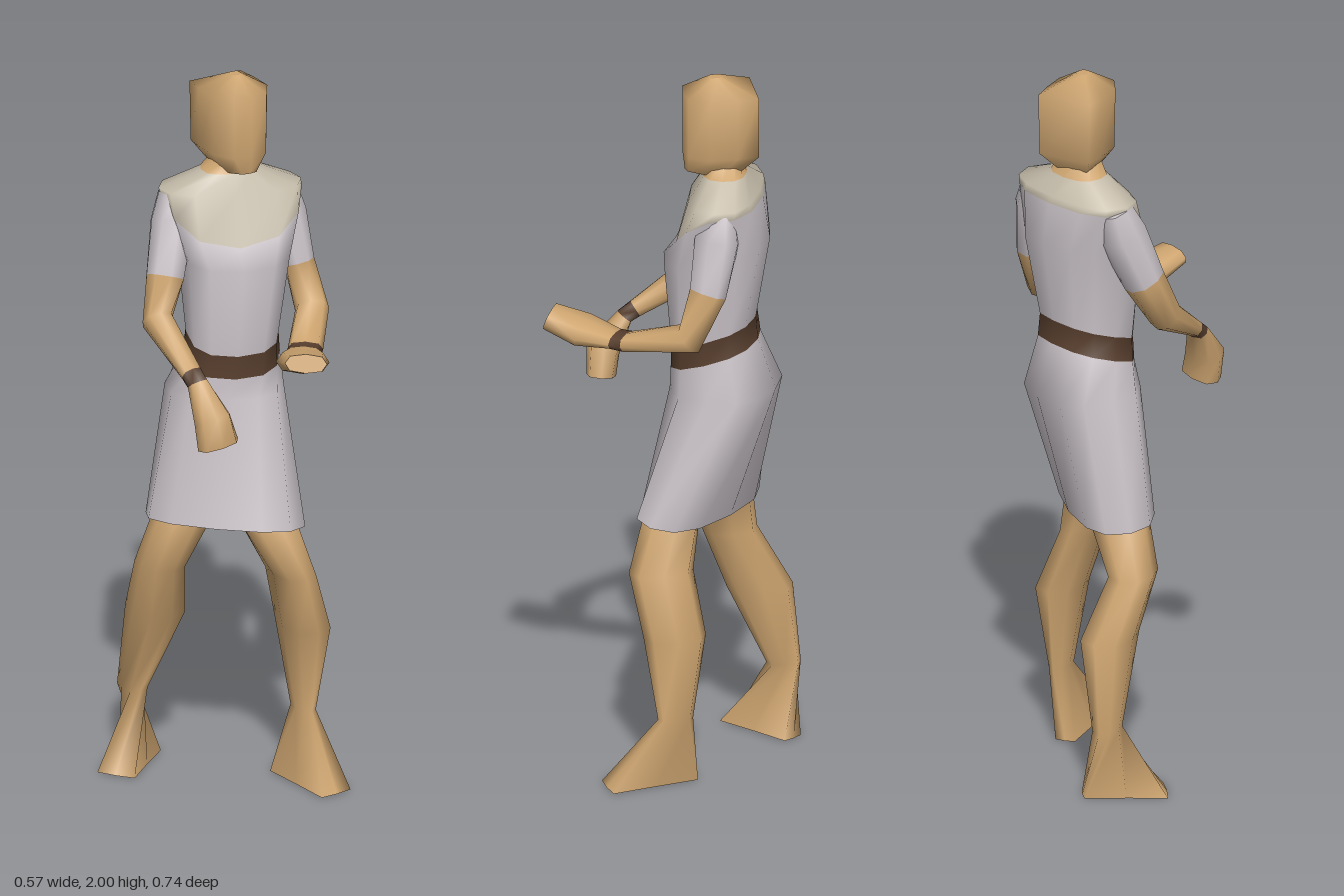
import * as THREE from 'three';

const material = (name, color) => {
  const m = new THREE.MeshStandardMaterial({ color });
  m.name = name;
  return m;
};

// Rounded-box outline as [u, v] pairs, starting at the front
const rounded = (n, e) => Array.from({ length: n }, (_, i) => {
  const t = (i / n) * Math.PI * 2;
  return [Math.sin(t), Math.cos(t)].map(v => Math.sign(v) * Math.abs(v) ** e);
});
const ROUND = rounded(8, 0.8);
const BODY = rounded(12, 0.8);
// Broad toes and narrow heel
const FOOT = [[0, 1], [1, 0.97], [0.75, 0], [0.55, -0.97], [0, -1], [-0.55, -0.97], [-0.75, 0], [-1, 0.97]];
// Square back and tapered face
const SKULL = [[0, 1], [0.6, 0.92], [1, 0.35], [1, -0.4], [0.92, -1], [-0.92, -1], [-1, -0.4], [-1, 0.35], [-0.6, 0.92]];

// Horizontal ring; yaw in degrees, dip tilts it forward, scoop lowers only the front
function ring(shape, x, y, z, rx, rz, yaw = 0, dip = 0, scoop = 0) {
  const a = THREE.MathUtils.degToRad(yaw);
  return shape.map(([u, v]) => new THREE.Vector3(
    x + u * rx * Math.cos(a) + v * rz * Math.sin(a),
    y - dip * v - scoop * Math.max(v, 0) ** 2,
    z - u * rx * Math.sin(a) + v * rz * Math.cos(a)));
}

// Rings set square to a path of [x, y, z, half width, half thickness]
function pathRings(path, side) {
  const c = path.map(p => new THREE.Vector3(p[0], p[1], p[2]));
  return path.map((p, i) => {
    const t = c[Math.min(i + 1, c.length - 1)].clone().sub(c[Math.max(i - 1, 0)]).normalize();
    const u = side.clone().addScaledVector(t, -side.dot(t)).normalize();
    const w = t.clone().cross(u);
    return ROUND.map(([s, q]) =>
      c[i].clone().addScaledVector(u, q * p[3]).addScaledVector(w, s * p[4]));
  });
}

// Smooth skin over the rings, one material per span, closed at both ends
function loft(name, rings, spanMaterials) {
  const n = rings[0].length, pos = [], idx = [];
  const geo = new THREE.BufferGeometry();
  const mats = [...new Set(spanMaterials)];
  const push = v => pos.push(v.x, v.y, v.z);
  rings.forEach(r => r.forEach(push));

  const cap = (r, flip, mat) => {
    const base = pos.length / 3, start = idx.length;
    r.forEach(push);
    push(r.reduce((s, v) => s.add(v), new THREE.Vector3()).divideScalar(n));
    for (let j = 0; j < n; j++) {
      const a = base + j, b = base + (j + 1) % n;
      idx.push(base + n, ...(flip ? [b, a] : [a, b]));
    }
    geo.addGroup(start, n * 3, mats.indexOf(mat));
  };

  spanMaterials.forEach((mat, i) => {
    const start = idx.length;
    for (let j = 0; j < n; j++) {
      const a = i * n + j, b = i * n + (j + 1) % n, c = b + n, d = a + n;
      idx.push(a, b, c, a, c, d);
    }
    geo.addGroup(start, n * 6, mats.indexOf(mat));
  });
  cap(rings[0], true, spanMaterials[0]);
  cap(rings[rings.length - 1], false, spanMaterials[spanMaterials.length - 1]);

  geo.setAttribute('position', new THREE.Float32BufferAttribute(pos, 3));
  geo.setIndex(idx);
  geo.computeVertexNormals();
  const mesh = new THREE.Mesh(geo, mats);
  mesh.name = name;
  return mesh;
}

export function createModel() {
  const skin = material('skin', 0xcea570);
  const cloth = material('dress cloth', 0xcdc6cb);
  const yoke = material('yoke cloth', 0xc5bcaa);
  const leather = material('brown leather', 0x583f2e);
  const group = new THREE.Group();
  group.name = 'figure';

  // Dress: skirt, belt, bodice, yoke and neck in one twisted loft
  const body = (...args) => ring(BODY, ...args);
  group.add(loft('dress', [
    body(0.0, 0.735, -0.065, 0.222, 0.108, -45, -0.01),
    body(0.037, 1.1, -0.135, 0.16, 0.143, -30),
    body(0.041, 1.2, -0.106, 0.132, 0.118, -24, 0.04),
    body(0.042, 1.265, -0.102, 0.126, 0.115, -22, 0.04),
    body(0.05, 1.505, -0.108, 0.155, 0.145, -19, 0.03),
    body(0.052, 1.645, -0.118, 0.19, 0.116, -19, 0.01, 0.105),
    body(0.053, 1.672, -0.132, 0.196, 0.094, -19),
    body(0.05, 1.72, -0.13, 0.08, 0.06, -15),
    body(0.05, 1.77, -0.12, 0.045, 0.045),
  ], [cloth, cloth, leather, cloth, cloth, yoke, yoke, skin]));

  // Underside between the legs
  group.add(loft('pelvis', [
    body(0, 0.728, -0.06, 0.08, 0.05, -45),
    body(0, 0.745, -0.065, 0.21, 0.1, -45),
  ], [skin]));

  // Head
  const skull = (y, z, rx, rz, dip = 0) => ring(SKULL, 0.052, y, z, rx, rz, 0, dip);
  group.add(loft('head', [
    skull(1.725, -0.085, 0.036, 0.065, -0.01),
    skull(1.785, -0.112, 0.082, 0.098),
    skull(1.955, -0.112, 0.086, 0.098),
    skull(1.998, -0.1, 0.014, 0.016),
  ], [skin, skin, skin]));

  // Legs, from the sole up into the skirt
  const leg = (name, footYaw, [sole, ...rows]) => group.add(loft(name,
    [ring(FOOT, ...sole, footYaw), ...rows.map(r => ring(ROUND, ...r))],
    rows.map(() => skin)));
  leg('leftLeg', 9, [
    [0.164, 0, 0.09, 0.05, 0.127],
    [0.188, 0.19, 0.028, 0.024, 0.048],
    [0.186, 0.43, 0.03, 0.064, 0.085],
    [0.132, 0.6, 0.058, 0.054, 0.088],
    [0.084, 0.735, 0.022, 0.076, 0.078],
    [0.06, 0.85, -0.04, 0.045, 0.045],
  ]);
  leg('rightLeg', -55, [
    [-0.166, 0, -0.272, 0.055, 0.115],
    [-0.14, 0.2, -0.322, 0.035, 0.047],
    [-0.11, 0.44, -0.252, 0.07, 0.09],
    [-0.14, 0.6, -0.175, 0.06, 0.075],
    [-0.086, 0.735, -0.15, 0.076, 0.078],
    [-0.03, 0.85, -0.13, 0.045, 0.045],
  ]);

  // Arms: sleeve, bare elbow and forearm, wrist band, hand
  const armSpans = [cloth, cloth, skin, skin, leather, skin, skin];
  const arm = (name, side, path) =>
    group.add(loft(name, pathRings(path, new THREE.Vector3(...side)), armSpans));
  arm('leftArm', [0.8, 0, 0.6], [
    [0.19, 1.655, -0.092, 0.042, 0.046],
    [0.2, 1.58, -0.083, 0.055, 0.062],
    [0.224, 1.44, -0.055, 0.042, 0.054],
    [0.234, 1.315, -0.003, 0.046, 0.045],
    [0.125, 1.272, 0.148, 0.048, 0.022],
    [0.102, 1.272, 0.178, 0.048, 0.02],
    [0.052, 1.284, 0.258, 0.072, 0.033],
    [0.013, 1.313, 0.342, 0.057, 0.026],
  ]);
  arm('rightArm', [1, 0, 0.2], [
    [-0.09, 1.655, -0.187, 0.042, 0.048],
    [-0.105, 1.58, -0.17, 0.058, 0.066],
    [-0.15, 1.44, -0.13, 0.053, 0.055],
    [-0.195, 1.335, -0.095, 0.042, 0.045],
    [-0.187, 1.235, 0.075, 0.03, 0.024],
    [-0.186, 1.215, 0.105, 0.03, 0.024],
    [-0.176, 1.13, 0.165, 0.052, 0.047],
    [-0.162, 1.058, 0.172, 0.058, 0.04],
  ]);

  return group;
}
